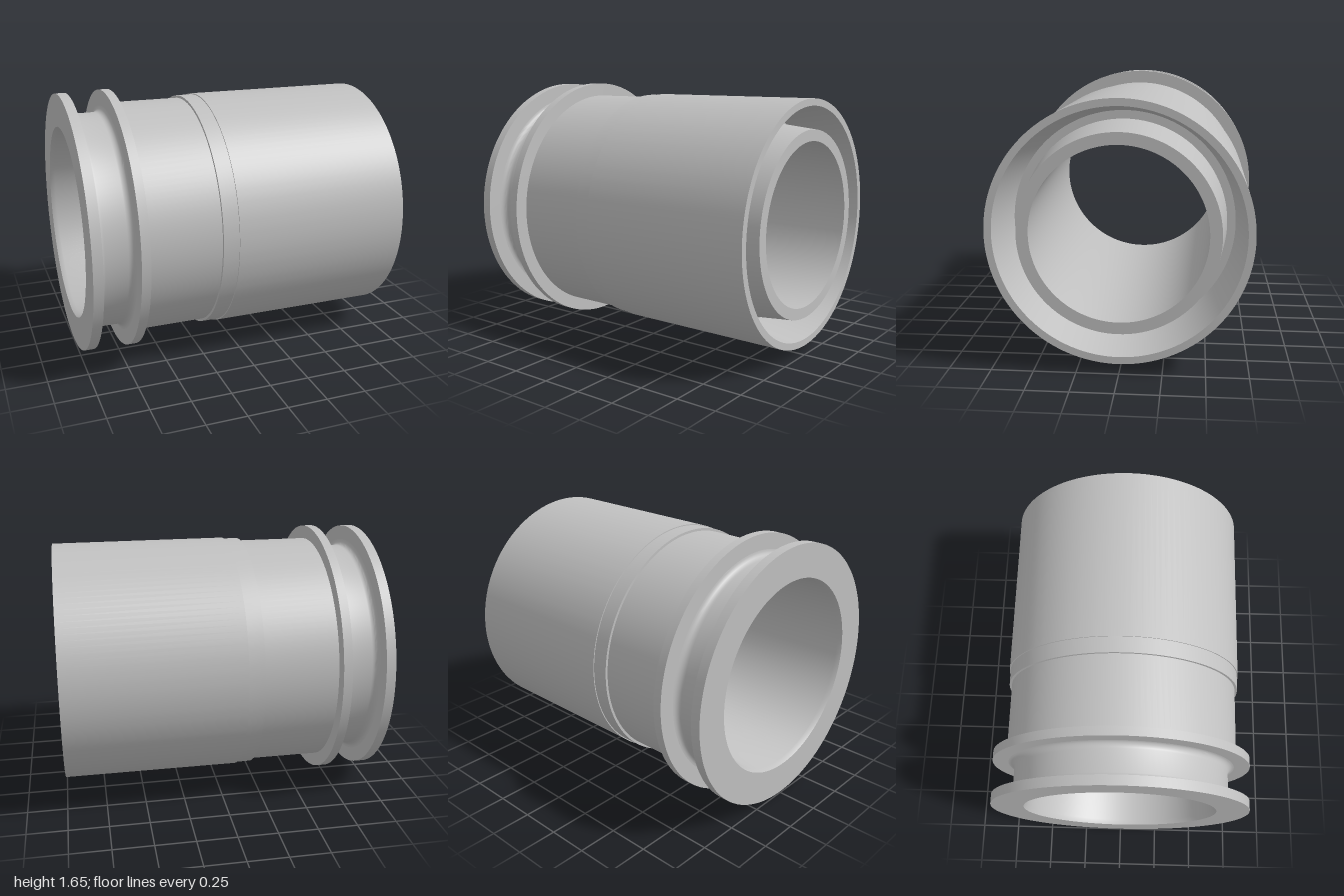
import * as THREE from 'three';
import { toCreasedNormals } from 'three/addons/utils/BufferGeometryUtils.js';

const AXIS_HEIGHT = 0.825;
const SEGMENTS = 128;

// Quarter-circle fillet points as [x, radius]
function fillet(cx, cr, size, from, to, steps = 6) {
  return Array.from({ length: steps + 1 }, (_, i) => {
    const a = from + ((to - from) * i) / steps;
    return [cx + size * Math.cos(a), cr + size * Math.sin(a)];
  });
}

export function createModel() {
  const group = new THREE.Group();
  group.name = 'flangedBushing';
  const metal = new THREE.MeshStandardMaterial({ color: 0xc0c0c0 });
  metal.name = 'lightGrey';

  // Turn a profile of [x, radius] points about the long axis
  function turned(name, profile) {
    const points = profile.map(([x, r]) => new THREE.Vector2(r, x));
    const geometry = new THREE.LatheGeometry(points, SEGMENTS);
    geometry.rotateZ(-Math.PI / 2);
    const mesh = new THREE.Mesh(toCreasedNormals(geometry, 0.5), metal);
    mesh.name = name;
    mesh.position.y = AXIS_HEIGHT;
    group.add(mesh);
  }

  // End flange with its outer face
  turned('endFlange', [[-1, 0.61], [-1, 0.817], [-0.94, 0.817], [-0.94, 0.725]]);

  // Groove between the flanges, rounded at both floor corners
  turned('flangeGroove', [
    ...fillet(-0.9, 0.725, 0.04, Math.PI, Math.PI * 1.5),
    ...fillet(-0.765, 0.725, 0.04, Math.PI * 1.5, Math.PI * 2),
  ]);

  // Second flange
  turned('innerFlange', [[-0.725, 0.725], [-0.725, 0.825], [-0.67, 0.825], [-0.67, 0.74]]);

  // Plain body between flange and sleeve
  turned('body', [[-0.67, 0.74], [-0.21, 0.74]]);

  // Stepped collar and long sleeve, with the rim of the sleeve
  turned('sleeve', [
    [-0.21, 0.74], [-0.21, 0.756], [-0.11, 0.757], [-0.11, 0.763], [1, 0.763], [1, 0.72],
  ]);

  // Tapered ring recess in the open end
  turned('endRecess', [[1, 0.72], [0.65, 0.665], [0.65, 0.615], [1, 0.58]]);

  // Inner tube rim and tapered through bore with a small lead-in
  turned('bore', [[1, 0.58], [1, 0.51], [-0.97, 0.595], [-1, 0.61]]);

  return group;
}
